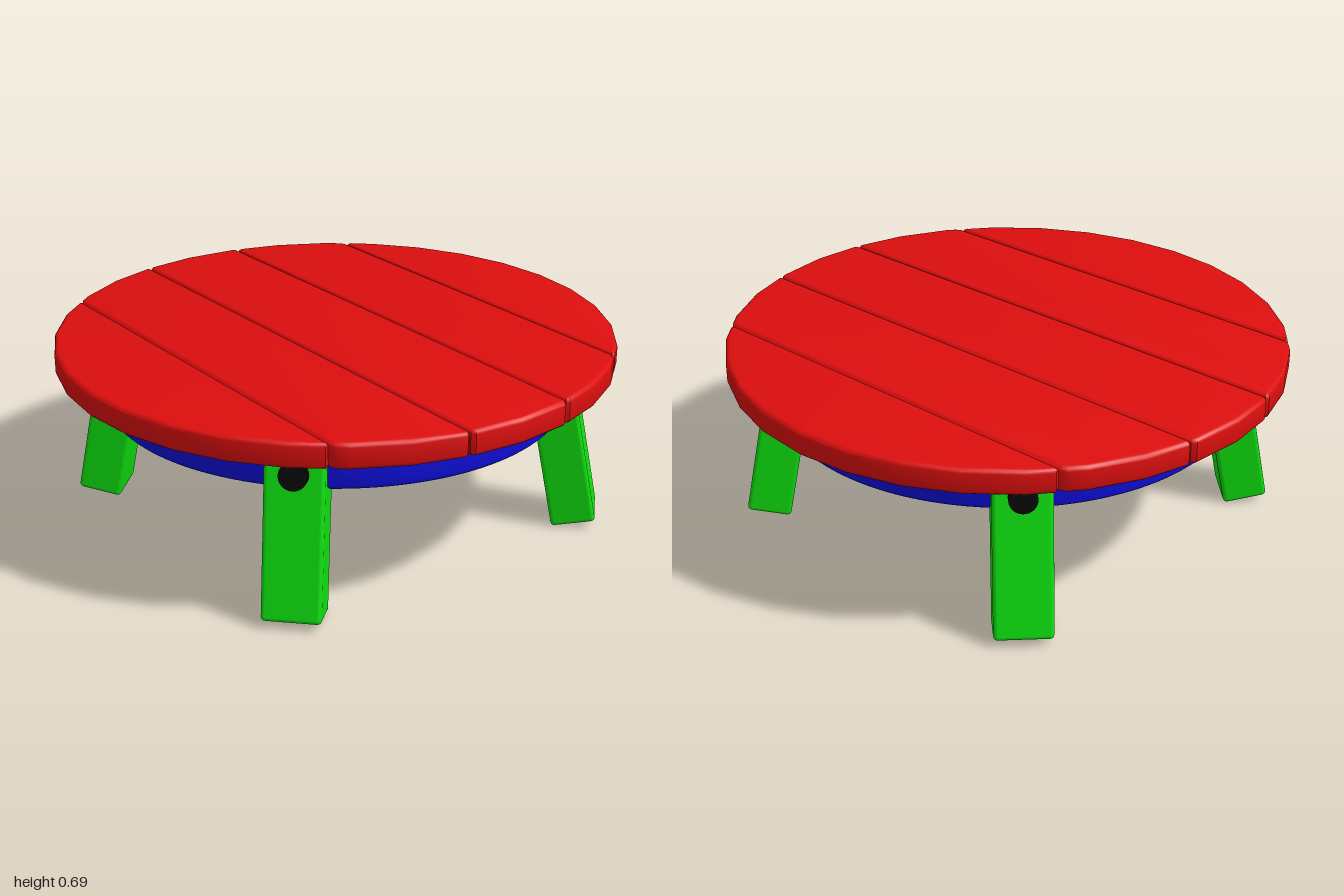
import * as THREE from 'three';
import { toCreasedNormals } from 'three/addons/utils/BufferGeometryUtils.js';
import { RoundedBoxGeometry } from 'three/addons/geometries/RoundedBoxGeometry.js';

const mat = (name, color) => {
  const m = new THREE.MeshStandardMaterial({ color });
  m.name = name;
  return m;
};

// Half width of the 32-sided unit tabletop at depth z
const SIDES = 32;
function halfWidth(z) {
  const step = (Math.PI * 2) / SIDES;
  const k = Math.floor(Math.asin(THREE.MathUtils.clamp(z, -1, 1)) / step + 1e-6);
  const a = k * step, b = a + step;
  const t = (z - Math.sin(a)) / (Math.sin(b) - Math.sin(a));
  return Math.cos(a) + t * (Math.cos(b) - Math.cos(a));
}

// Extrudes a plan shape (x, z) upward with softly rounded edges
function slab(shape, y0, y1, bevel, curveSegments = 12) {
  const g = new THREE.ExtrudeGeometry(shape, {
    depth: y1 - y0 - 2 * bevel, bevelEnabled: true, bevelThickness: bevel,
    bevelSize: bevel, bevelOffset: -bevel, bevelSegments: 3, curveSegments,
  });
  g.rotateX(Math.PI / 2);
  g.translate(0, y1 - bevel, 0);
  return toCreasedNormals(g, 0.62);
}

// Outline of one plank: the round top clipped between two depths, corners nipped
function plankShape(z0, z1) {
  const c = 0.012, right = [];
  if (z0 > -1) right.push([halfWidth(z0) - c, z0], [halfWidth(z0 + c), z0 + c]);
  else right.push([0, -1]);
  for (let k = -SIDES / 4 + 1; k < SIDES / 4; k++) {
    const a = (k * Math.PI * 2) / SIDES, z = Math.sin(a);
    if (z > z0 + c * 1.5 && z < z1 - c * 1.5) right.push([Math.cos(a), z]);
  }
  if (z1 < 1) right.push([halfWidth(z1 - c), z1 - c], [halfWidth(z1) - c, z1]);
  else right.push([0, 1]);
  const left = right.filter((p) => p[0] > 0).reverse().map(([x, z]) => [-x, z]);
  return new THREE.Shape([...right, ...left].map(([x, z]) => new THREE.Vector2(x, z)));
}

export function createModel() {
  const red = mat('red tabletop', 0xdd0e0e);
  const green = mat('green legs', 0x0edd0e);
  const blue = mat('blue apron', 0x0e0edd);
  const black = mat('black bolts', 0x060606);

  const model = new THREE.Group();
  model.name = 'roundTable';
  const add = (parent, name, geometry, material) => {
    const mesh = new THREE.Mesh(geometry, material);
    mesh.name = name;
    parent.add(mesh);
    return mesh;
  };

  // Five planks forming the round top
  const top = new THREE.Group();
  top.name = 'tabletop';
  model.add(top);
  const cuts = [-1, -0.62, -0.213, 0.195, 0.6, 1];
  const gap = 0.002;
  for (let i = 0; i < 5; i++) {
    const z0 = i === 0 ? -1 : cuts[i] + gap;
    const z1 = i === 4 ? 1 : cuts[i + 1] - gap;
    add(top, 'plank' + (i + 1), slab(plankShape(z0, z1), 0.6, 0.69, 0.015), red);
  }

  // Four curved apron pieces, each ending flat against the legs
  const OUTER = 0.83, INNER = 0.72, CUT = 0.1;
  const q = Math.PI / 4;
  const ao = Math.asin(CUT / OUTER), ai = Math.asin(CUT / INNER);
  const arc = new THREE.Shape();
  arc.absarc(0, 0, OUTER, q + ao, 3 * q - ao, false);
  arc.absarc(0, 0, INNER, 3 * q - ai, q + ai, true);
  const apronGeometry = slab(arc, 0.45, 0.6, 0.015, 14);

  // Splayed legs on the diagonals, each with a bolt head on its outer face
  const legGeometry = new RoundedBoxGeometry(0.2, 0.575, 0.16, 3, 0.015);
  const boltGeometry = new THREE.CylinderGeometry(0.048, 0.048, 0.06, 24);
  boltGeometry.rotateX(Math.PI / 2);

  for (let i = 0; i < 4; i++) {
    const apron = add(model, 'apron' + (i + 1), apronGeometry, blue);
    apron.rotation.y = (i * Math.PI) / 2;

    const corner = new THREE.Group();
    corner.name = 'legCorner' + (i + 1);
    corner.rotation.y = q + (i * Math.PI) / 2;
    model.add(corner);

    const leg = new THREE.Group();
    leg.name = 'legWithBolt' + (i + 1);
    leg.position.set(0, 0.2975, 0.829);
    leg.rotation.x = -0.196;
    corner.add(leg);
    add(leg, 'leg', legGeometry, green);
    add(leg, 'bolt', boltGeometry, black).position.set(0, 0.209, 0.076);
  }
  return model;
}
